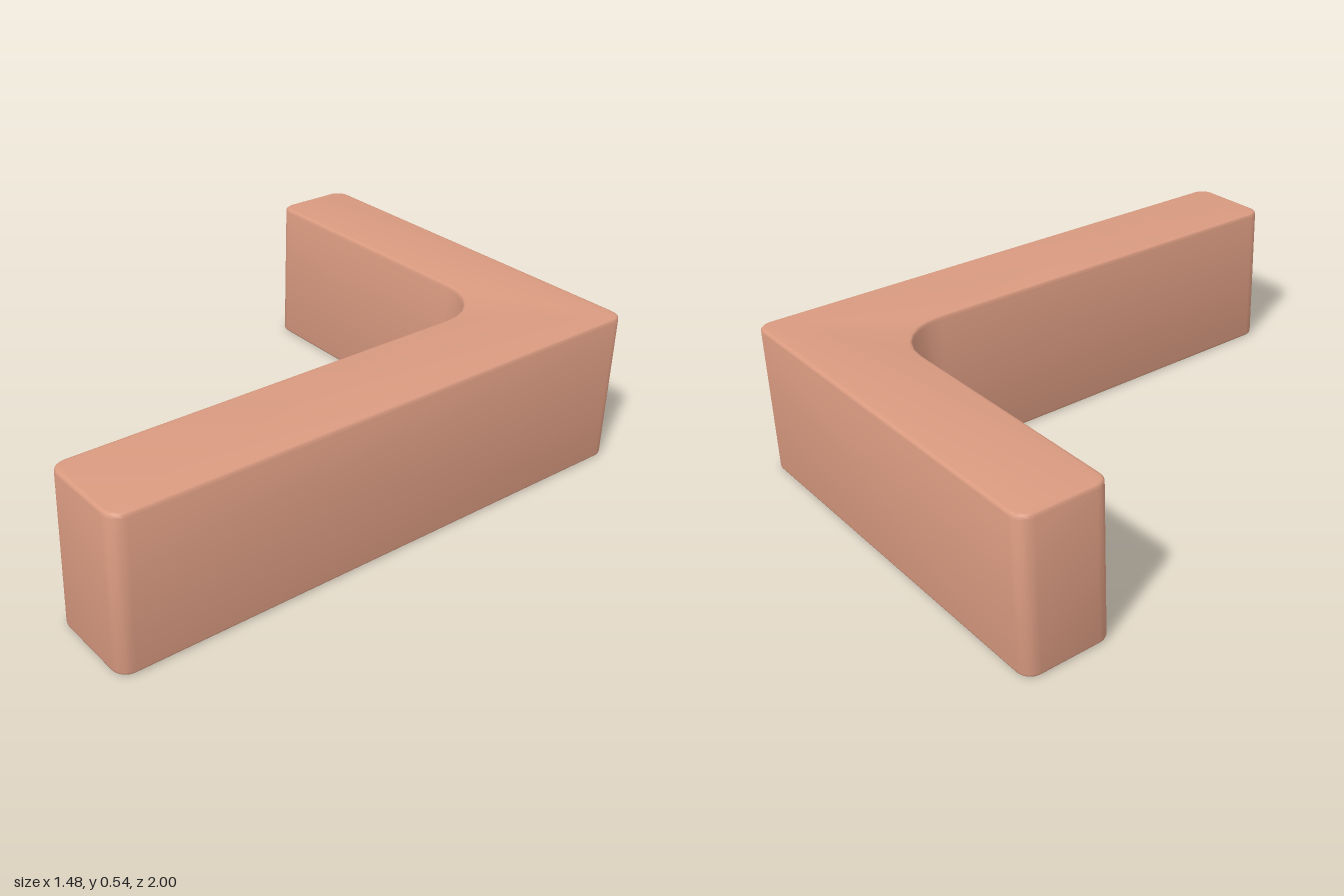
import * as THREE from 'three';
import { toCreasedNormals } from 'three/addons/utils/BufferGeometryUtils.js';

export function createModel() {
  const group = new THREE.Group();
  const W = 0.738, H = 0.535, R = 0.05, FILLET = 0.2, BEVEL = 0.012;
  const innerX = 0.405, innerY = 0.695, q = Math.PI / 2;

  // L-shaped plan (shape y is -z), with rounded corners and an inner fillet
  const plan = new THREE.Shape();
  const corner = (x, y, quarter) => plan.absarc(x, y, R, quarter * q, (quarter + 1) * q, false);
  plan.moveTo(-W + R, innerY);
  plan.absarc(innerX - FILLET, innerY - FILLET, FILLET, q, 0, true);
  corner(innerX + R, -1 + R, 2);
  corner(W - R, -1 + R, 3);
  corner(W - R, 1 - R, 0);
  corner(-W + R, 1 - R, 1);
  corner(-W + R, innerY + R, 2);

  // Extrude upward with softly rounded top and bottom edges
  const geometry = new THREE.ExtrudeGeometry(plan, {
    depth: H - 2 * BEVEL,
    curveSegments: 3,
    bevelThickness: BEVEL,
    bevelSize: BEVEL,
    bevelOffset: -BEVEL,
    bevelSegments: 3,
  });
  geometry.translate(0, 0, BEVEL);
  geometry.rotateX(-q);

  const block = new THREE.Mesh(
    toCreasedNormals(geometry, 0.7),
    new THREE.MeshStandardMaterial({ color: 0xd99a80 })
  );
  block.name = 'cornerBlock';
  group.add(block);
  return group;
}
